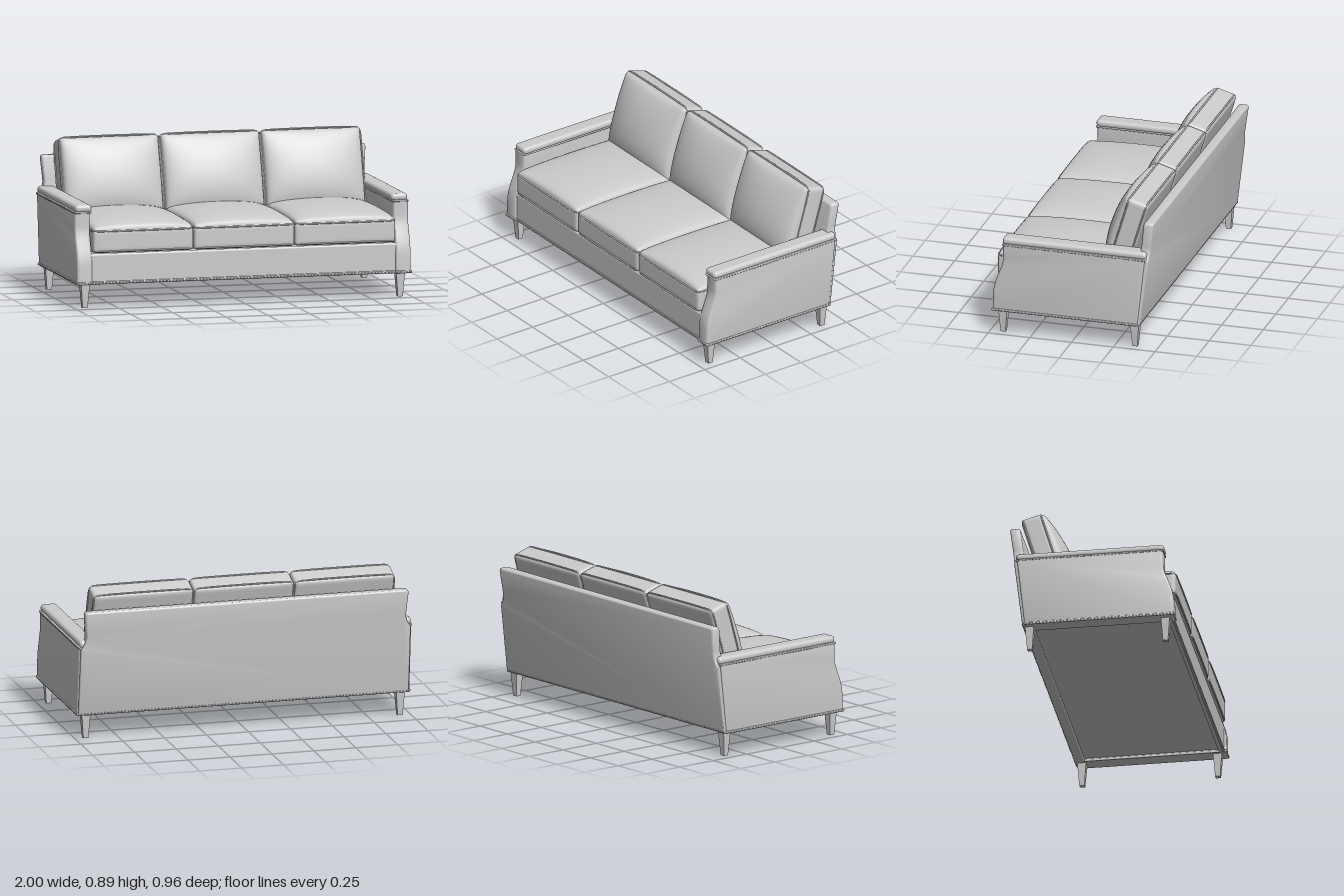
import * as THREE from 'three';
import { mergeGeometries, mergeVertices, toCreasedNormals } from 'three/addons/utils/BufferGeometryUtils.js';
import { RoundedBoxGeometry } from 'three/addons/geometries/RoundedBoxGeometry.js';

const fabric = new THREE.MeshStandardMaterial({ color: 0xcccccc });
fabric.name = 'grey upholstery';

function add(parent, name, geometry, x = 0, y = 0, z = 0) {
  const mesh = new THREE.Mesh(geometry, fabric);
  mesh.name = name;
  mesh.position.set(x, y, z);
  parent.add(mesh);
  return mesh;
}

// Box with soft edges of radius r whose +z face swells by bulge
function pillowGeometry(w, h, d, r, bulge, power, sag) {
  let g = new THREE.BoxGeometry(2, 2, 2, 28, 28, 12);
  g.deleteAttribute('normal');
  g.deleteAttribute('uv');
  g = mergeVertices(g, 1e-4);
  const p = g.attributes.position;
  const half = new THREE.Vector3(w / 2, h / 2, d / 2);
  const inner = half.clone().subScalar(r);
  const v = new THREE.Vector3(), core = new THREE.Vector3();
  const ease = t => Math.sin(t * Math.PI / 2);
  for (let i = 0; i < p.count; i++) {
    v.fromBufferAttribute(p, i);
    const front = v.z > 0.999;
    v.set(ease(v.x), ease(v.y), ease(v.z));
    const a = v.x, b = v.y;
    v.multiply(half);
    core.copy(v).clamp(inner.clone().negate(), inner);
    v.sub(core).setLength(Math.min(r, v.length())).add(core);
    if (front) {
      const swell = Math.max(0, (1 - a * a) * (1 - b * b));
      v.z += bulge * Math.pow(swell, power) * (1 - sag * b);
    }
    p.setXYZ(i, v.x, v.y, v.z);
  }
  g.computeVertexNormals();
  return g;
}

// Thin welt running round a cushion outline
function pipingGeometry(w, h, r, z) {
  const x = w / 2 - r, y = h / 2 - r, points = [];
  [[1, 1], [-1, 1], [-1, -1], [1, -1]].forEach(([sx, sy], k) => {
    for (let i = 0; i <= 4; i++) {
      const a = (k + i / 4) * Math.PI / 2;
      points.push(new THREE.Vector3(sx * x + r * Math.cos(a), sy * y + r * Math.sin(a), z));
    }
  });
  const path = new THREE.CatmullRomCurve3(points, true, 'centripetal');
  return new THREE.TubeGeometry(path, 120, 0.005, 6, true);
}

// Bevelled slab that keeps the outline size; centred on its depth
function slabGeometry(shape, depth, bevel) {
  const g = new THREE.ExtrudeGeometry(shape, {
    depth: depth - 2 * bevel, bevelEnabled: true, bevelThickness: bevel,
    bevelSize: bevel, bevelOffset: -bevel, bevelSegments: 3, curveSegments: 10,
  });
  g.translate(0, 0, bevel - depth / 2);
  return g;
}

// Row of small studs between two points
function studs(from, to, spacing) {
  const a = new THREE.Vector3(...from), b = new THREE.Vector3(...to);
  const n = Math.round(a.distanceTo(b) / spacing);
  const list = [];
  for (let i = 0; i <= n; i++) {
    const c = a.clone().lerp(b, i / n);
    list.push(new THREE.SphereGeometry(0.004, 6, 4).translate(c.x, c.y, c.z));
  }
  return mergeGeometries(list);
}

export function createModel() {
  const sofa = new THREE.Group();
  sofa.name = 'sofa';

  // Base: deck with a recessed underside and a front rail
  add(sofa, 'seatDeck', new THREE.BoxGeometry(1.84, 0.15, 0.82), 0, 0.235, 0.04);
  add(sofa, 'frontRail', new RoundedBoxGeometry(1.84, 0.175, 0.03, 4, 0.012), 0, 0.2275, 0.449);
  add(sofa, 'frontRailTrim', new RoundedBoxGeometry(1.84, 0.016, 0.012, 2, 0.004), 0, 0.147, 0.464);
  add(sofa, 'frontStuds', studs([-0.9, 0.147, 0.47], [0.9, 0.147, 0.47], 0.02));

  // Back frame, leaning backwards
  const back = new THREE.Shape();
  back.moveTo(-0.985, 0.138);
  back.lineTo(0.985, 0.138);
  back.lineTo(0.982, 0.54);
  back.quadraticCurveTo(0.95, 0.58, 0.953, 0.63);
  back.lineTo(0.963, 0.75);
  back.quadraticCurveTo(0.963, 0.77, 0.94, 0.77);
  back.lineTo(-0.94, 0.77);
  back.quadraticCurveTo(-0.963, 0.77, -0.963, 0.75);
  back.lineTo(-0.953, 0.63);
  back.quadraticCurveTo(-0.95, 0.58, -0.982, 0.54);
  back.closePath();
  const backGeometry = slabGeometry(back, 0.06, 0.012);
  const bp = backGeometry.attributes.position;
  for (let i = 0; i < bp.count; i++) {
    bp.setZ(i, bp.getZ(i) - 0.374 - 0.12 * (bp.getY(i) - 0.14));
  }
  add(sofa, 'backFrame', toCreasedNormals(backGeometry, 0.6));
  add(sofa, 'backStuds', studs([-0.97, 0.15, -0.405], [0.97, 0.15, -0.405], 0.02));

  // Arm outline: z across, y up, with a scooped front
  const arm = new THREE.Shape();
  arm.moveTo(0.478, 0.138);
  arm.lineTo(0.476, 0.24);
  arm.bezierCurveTo(0.472, 0.34, 0.416, 0.4, 0.416, 0.47);
  arm.lineTo(0.416, 0.56);
  arm.lineTo(-0.435, 0.56);
  arm.lineTo(-0.39, 0.138);
  arm.closePath();
  const armGeometry = toCreasedNormals(slabGeometry(arm, 0.09, 0.014).rotateY(-Math.PI / 2), 0.6);

  for (const side of [1, -1]) {
    const label = side > 0 ? 'left' : 'right';
    add(sofa, label + 'ArmPanel', armGeometry, side * 0.947, 0, 0);
    add(sofa, label + 'ArmCap', new RoundedBoxGeometry(0.098, 0.044, 0.86, 5, 0.02), side * 0.939, 0.572, -0.01);
    add(sofa, label + 'ArmCapTrim', new RoundedBoxGeometry(0.1, 0.012, 0.862, 2, 0.005), side * 0.943, 0.551, -0.01);
    add(sofa, label + 'ArmBaseTrim', new RoundedBoxGeometry(0.098, 0.016, 0.875, 2, 0.005), side * 0.947, 0.147, 0.044);
    add(sofa, label + 'ArmStuds', mergeGeometries([
      studs([side * 0.993, 0.549, 0.4], [side * 0.993, 0.549, -0.42], 0.02),
      studs([side * 0.996, 0.147, 0.46], [side * 0.996, 0.147, -0.38], 0.02),
      studs([side * 0.91, 0.147, 0.481], [side * 0.985, 0.147, 0.481], 0.02),
    ]));

    // Square tapered legs
    for (const [end, z] of [['Front', 0.425], ['Back', -0.365]]) {
      const leg = new THREE.CylinderGeometry(0.037, 0.021, 0.145, 4, 1).rotateY(Math.PI / 4).toNonIndexed();
      leg.computeVertexNormals();
      add(sofa, label + end + 'Leg', leg, side * 0.937, 0.0725, z);
    }
  }

  // Three seat cushions and three back cushions
  [['right', -0.597], ['middle', 0.003], ['left', 0.602]].forEach(([label, x]) => {
    const seat = new THREE.Group();
    seat.name = label + 'SeatCushion';
    seat.position.set(x, 0.388, 0.087);
    seat.rotation.x = -Math.PI / 2;
    add(seat, 'seatPad', pillowGeometry(0.598, 0.776, 0.14, 0.022, 0.058, 0.42, 0));
    add(seat, 'seatTopPiping', pipingGeometry(0.594, 0.772, 0.025, 0.058));
    add(seat, 'seatBottomPiping', pipingGeometry(0.59, 0.768, 0.025, -0.06));
    sofa.add(seat);

    const rest = new THREE.Group();
    rest.name = label + 'BackCushion';
    rest.position.set(x, 0.65, -0.3);
    rest.rotation.x = -0.29;
    add(rest, 'backPad', pillowGeometry(0.596, 0.46, 0.134, 0.024, 0.08, 0.5, 0.15));
    add(rest, 'backFrontPiping', pipingGeometry(0.592, 0.456, 0.03, 0.054));
    add(rest, 'backRearPiping', pipingGeometry(0.592, 0.456, 0.03, -0.054));
    sofa.add(rest);
  });

  return sofa;
}
